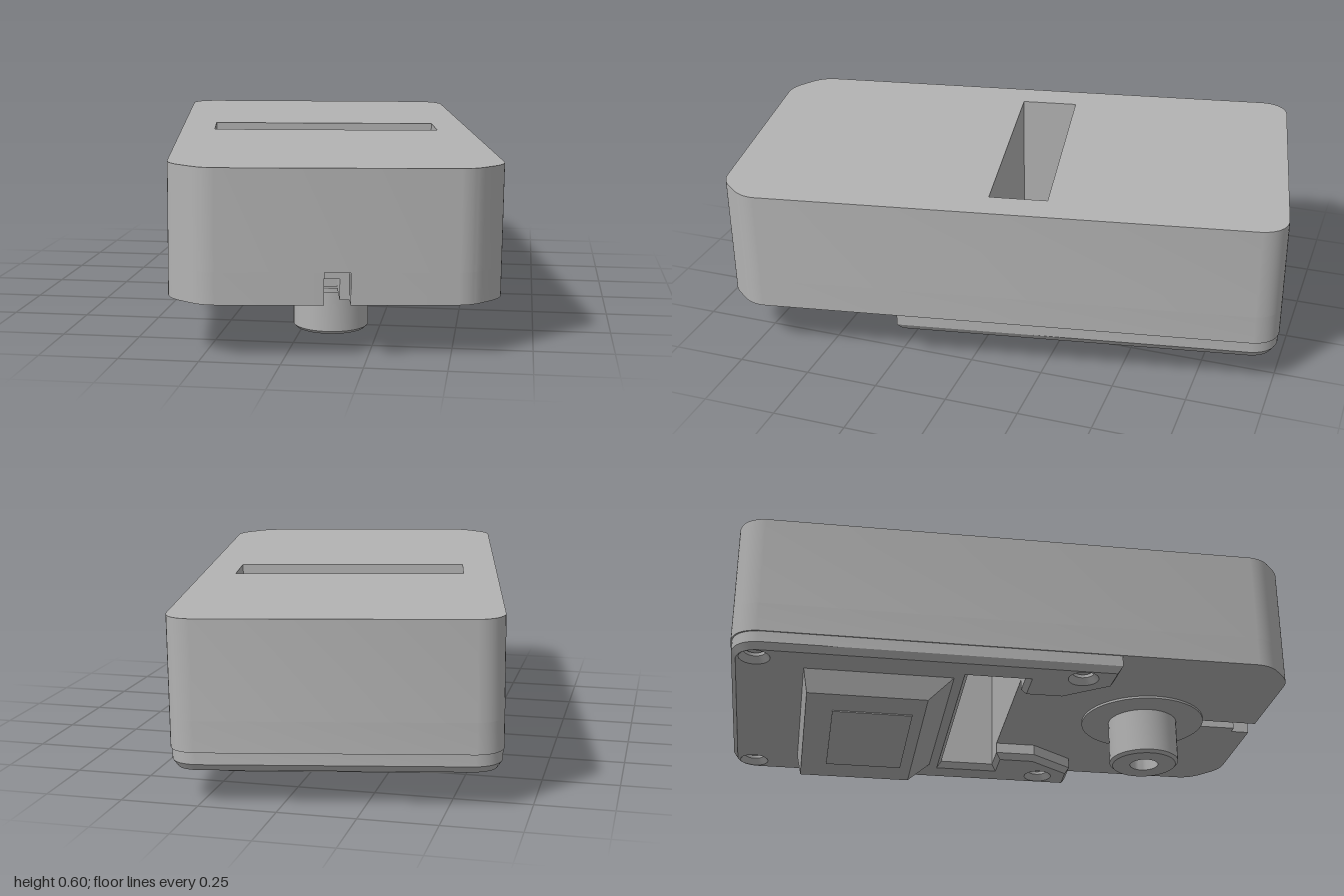
import * as THREE from 'three';
import { toCreasedNormals } from 'three/addons/utils/BufferGeometryUtils.js';

const grey = new THREE.MeshStandardMaterial({ color: 0xb3b3b3 });
grey.name = 'grey plastic';

const W = 0.515, L = 0.945;              // half width and half length of the case
const SLOT = { x: 0.398, z0: -0.16, z1: 0.036 };
const REAR_R = 0.085;

function part(name, geometry, parent) {
  const mesh = new THREE.Mesh(geometry, grey);
  mesh.name = name;
  parent.add(mesh);
  return mesh;
}

// Extrude a plan outline (x, z) between two heights
function slab(shape, y0, y1, bevel = 0) {
  const geo = new THREE.ExtrudeGeometry(shape, {
    depth: y1 - y0 - 2 * bevel, curveSegments: 10, bevelEnabled: bevel > 0,
    bevelThickness: bevel, bevelSize: bevel * 0.7, bevelOffset: -bevel * 0.7, bevelSegments: 1,
  });
  geo.rotateX(Math.PI / 2);
  geo.translate(0, y1 - bevel, 0);
  return toCreasedNormals(geo, 0.5);
}

// Rounded rear corners, softened chamfers at the front, optional front notch
function caseOutline(notched) {
  const s = new THREE.Shape();
  s.moveTo(-W + REAR_R, -L);
  s.lineTo(W - REAR_R, -L);
  s.quadraticCurveTo(W - 0.01, -L + 0.01, W, -L + REAR_R);
  s.lineTo(W, L - 0.145);
  s.quadraticCurveTo(W, L - 0.1, W - 0.035, L - 0.065);
  s.lineTo(W - 0.075, L - 0.03);
  s.quadraticCurveTo(W - 0.11, L, W - 0.155, L);
  if (notched) {
    s.lineTo(0.04, L);
    s.lineTo(0.04, 0.73);
    s.lineTo(-0.04, 0.73);
    s.lineTo(-0.04, L);
  }
  s.lineTo(-W + 0.155, L);
  s.quadraticCurveTo(-W + 0.11, L, -W + 0.075, L - 0.03);
  s.lineTo(-W + 0.035, L - 0.065);
  s.quadraticCurveTo(-W, L - 0.1, -W, L - 0.145);
  s.lineTo(-W, -L + REAR_R);
  s.quadraticCurveTo(-W + 0.01, -L + 0.01, -W + REAR_R, -L);
  const { x, z0, z1 } = SLOT;
  s.holes.push(new THREE.Path([[-x, z0], [-x, z1], [x, z1], [x, z0]].map(p => new THREE.Vector2(...p))));
  return s;
}

// Lower rear plate: runs round the slot and ends in two pads
function plateOutline(screws) {
  const w = W - 0.004, l = L - 0.004, { x, z0, z1 } = SLOT;
  const s = new THREE.Shape();
  s.moveTo(-w + REAR_R, -l);
  s.lineTo(w - REAR_R, -l);
  s.quadraticCurveTo(w - 0.01, -l + 0.01, w, -l + REAR_R);
  const side = [[w, 0.34], [0.39, 0.335], [0.28, 0.18], [0.28, z1], [x, z1], [x, z0]];
  side.forEach(([a, b]) => s.lineTo(a, b));
  [...side].reverse().forEach(([a, b]) => s.lineTo(-a, b));
  s.lineTo(-w, -l + REAR_R);
  s.quadraticCurveTo(-w + 0.01, -l + 0.01, -w + REAR_R, -l);
  for (const [a, b] of screws) {
    const hole = new THREE.Path();
    hole.absarc(a, b, 0.036, 0, Math.PI * 2, true);
    s.holes.push(hole);
  }
  return s;
}

export function createModel() {
  const model = new THREE.Group();
  model.name = 'slottedCase';
  const body = new THREE.Group();
  body.name = 'body';
  body.rotation.y = THREE.MathUtils.degToRad(10);
  model.add(body);

  // Case, with the slot passing right through
  part('upperCase', slab(caseOutline(false), 0.275, 0.591), body);
  part('lowerCase', slab(caseOutline(true), 0.175, 0.275), body);

  // Stepped block inside the front notch
  const step = part('notchStep', new THREE.BoxGeometry(0.08, 0.035, 0.15), body);
  step.position.set(0, 0.2575, 0.805);
  const stepSide = part('notchSideStep', new THREE.BoxGeometry(0.03, 0.065, 0.15), body);
  stepSide.position.set(0.025, 0.2075, 0.805);

  // Rear plate with recessed screws
  const screws = [[-0.44, -0.865], [0.44, -0.865], [-0.44, 0.22], [0.44, 0.22]];
  part('rearPlate', slab(plateOutline(screws), 0.115, 0.2, 0.022), body);
  for (const [x, z] of screws) {
    const head = part('screwHead', new THREE.CylinderGeometry(0.036, 0.03, 0.03, 20), body);
    head.position.set(x, 0.16, z);
  }

  // Hump under the rear with a sloped front face
  const hump = new THREE.BoxGeometry(2, 1, 2);
  const p = hump.attributes.position;
  for (let i = 0; i < p.count; i++) {
    const low = p.getY(i) < 0, front = p.getZ(i) > 0;
    p.setXYZ(i, p.getX(i) * (low ? 0.362 : 0.384), low ? 0.037 : 0.117,
      front ? (low ? -0.29 : -0.205) : (low ? -0.69 : -0.705));
  }
  hump.computeVertexNormals();
  part('hump', hump, body);
  const cover = part('humpCover', new THREE.BoxGeometry(0.47, 0.006, 0.27), body);
  cover.position.set(0, 0.036, -0.465);

  // Round post with a bored end, on a thin disc
  const profile = [[0, 0.09], [0.05, 0.09], [0.05, 0.004], [0.113, 0.004], [0.123, 0.014], [0.123, 0.18]];
  const post = part('post', toCreasedNormals(
    new THREE.LatheGeometry(profile.map(q => new THREE.Vector2(...q)), 40).toNonIndexed(), 0.5), body);
  post.position.z = 0.53;
  const disc = part('postDisc', new THREE.CylinderGeometry(0.22, 0.22, 0.014, 48), body);
  disc.position.set(0, 0.174, 0.53);

  // The case leans very slightly to one side
  model.rotation.z = -0.01;
  model.position.x = -0.003;
  const root = new THREE.Group();
  root.name = 'model';
  root.add(model);
  return root;
}
